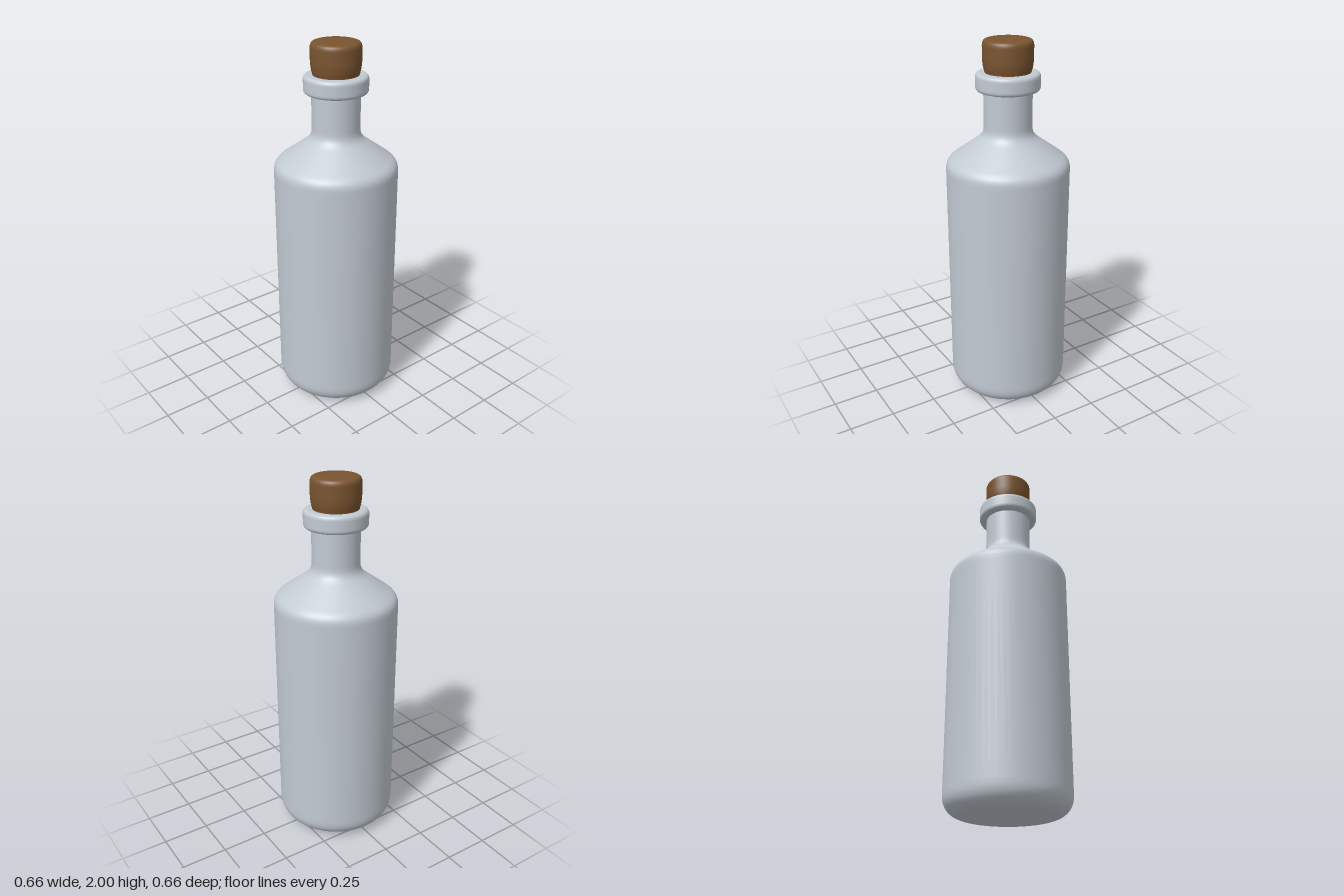
import * as THREE from 'three';

const glass = new THREE.MeshStandardMaterial({ color: 0xc2cad2 });
glass.name = 'pale grey glass';
const corkBrown = new THREE.MeshStandardMaterial({ color: 0x7a5430 });
corkBrown.name = 'cork brown';

// Spins a profile, drawn from the bottom up as a path, around the y axis.
function turned(name, material, draw) {
  const path = new THREE.Path();
  draw(path);
  const mesh = new THREE.Mesh(new THREE.LatheGeometry(path.getPoints(10), 64), material);
  mesh.name = name;
  return mesh;
}

export function createModel() {
  const bottle = new THREE.Group();
  bottle.name = 'corkedBottle';

  // Flat base, rounded heel, straight wall, sloping shoulder and neck
  bottle.add(turned('bottleBody', glass, p => {
    p.moveTo(0, 0.005);
    p.lineTo(0.2, 0.005);
    p.lineTo(0.22, 0.005);
    p.bezierCurveTo(0.285, 0.006, 0.33, 0.045, 0.33, 0.11);
    p.lineTo(0.33, 0.13);
    p.lineTo(0.33, 1.31);
    p.lineTo(0.33, 1.325);
    p.bezierCurveTo(0.33, 1.365, 0.315, 1.38, 0.28, 1.403);
    p.lineTo(0.175, 1.478);
    p.bezierCurveTo(0.14, 1.503, 0.127, 1.52, 0.127, 1.56);
    p.lineTo(0.127, 1.58);
    p.lineTo(0.127, 1.76);
  }));

  // Rounded lip around the mouth, closed under the cork
  bottle.add(turned('lip', glass, p => {
    p.moveTo(0.115, 1.738);
    p.lineTo(0.145, 1.738);
    p.quadraticCurveTo(0.168, 1.738, 0.168, 1.762);
    p.lineTo(0.168, 1.808);
    p.quadraticCurveTo(0.168, 1.833, 0.145, 1.833);
    p.lineTo(0.115, 1.833);
    p.lineTo(0, 1.833);
  }));

  // Tapered cork with a softened top edge
  bottle.add(turned('cork', corkBrown, p => {
    p.moveTo(0.117, 1.79);
    p.lineTo(0.12, 1.835);
    p.quadraticCurveTo(0.131, 1.87, 0.131, 1.91);
    p.lineTo(0.131, 1.965);
    p.quadraticCurveTo(0.131, 1.993, 0.112, 1.997);
    p.lineTo(0.09, 2);
    p.lineTo(0, 2);
  }));

  // Rest the base on the ground
  bottle.children[0].geometry.translate(0, -0.005, 0);
  return bottle;
}
